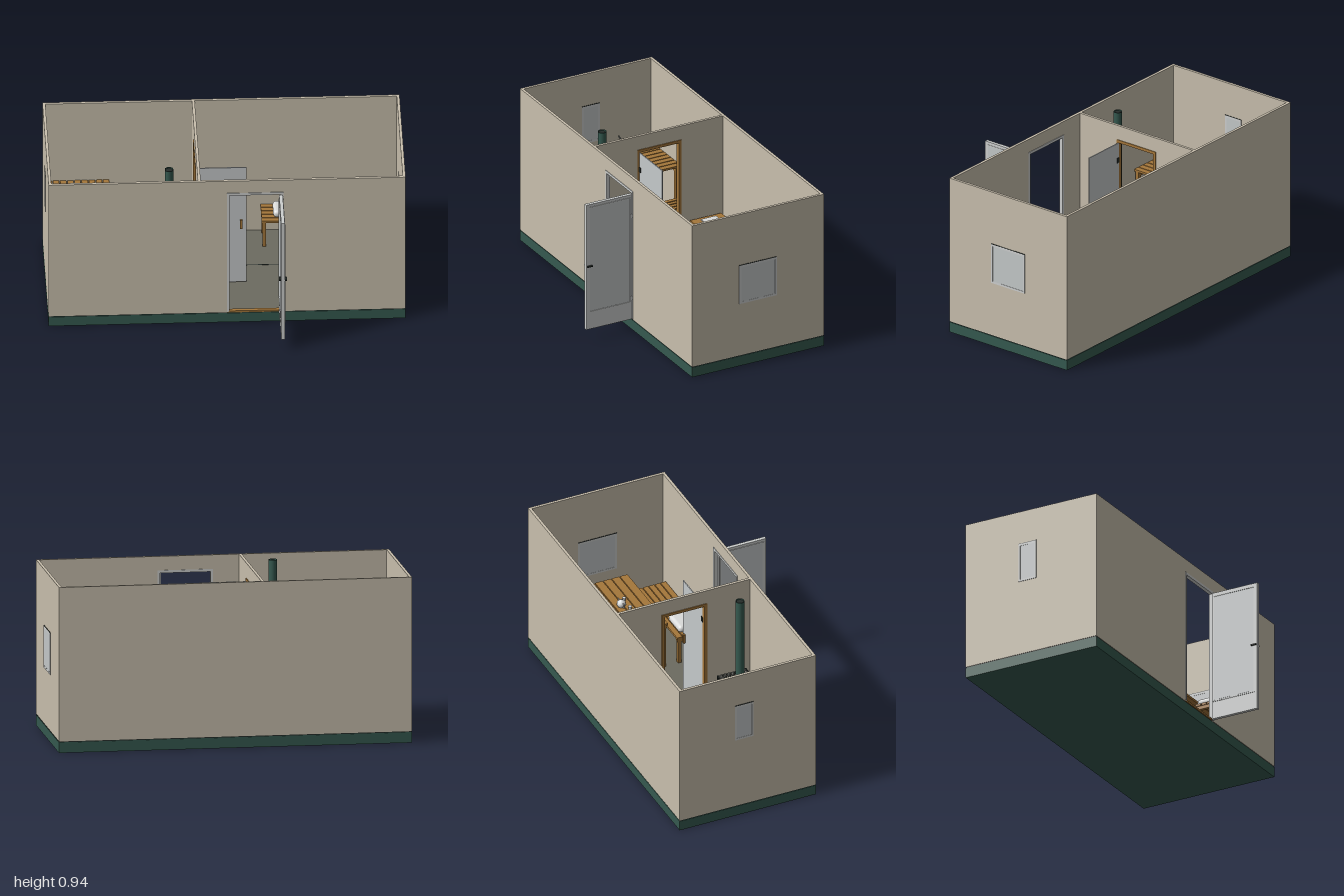
import * as THREE from 'three';
import { RoundedBoxGeometry } from 'three/addons/geometries/RoundedBoxGeometry.js';

const mat = (name, color) => Object.assign(new THREE.MeshStandardMaterial({ color }), { name });

export function createModel() {
  const wall = mat('beige wall', 0xc8bfad), green = mat('dark green', 0x35594f);
  const floorGrey = mat('floor grey', 0x6c6b60), wood = mat('warm wood', 0xa5773a);
  const white = mat('light grey frame', 0xced0cf), glass = mat('pane grey', 0xc5c9ca);
  const dark = mat('dark metal', 0x262d2a), stone = mat('stone grey', 0x5a5a54);
  const cloth = mat('white cloth', 0xdadbda);
  green.side = THREE.DoubleSide;
  wood.side = THREE.DoubleSide;

  const root = new THREE.Group();
  root.name = 'saunaCabin';
  const group = (name, parent = root) => {
    const g = new THREE.Group();
    g.name = name;
    parent.add(g);
    return g;
  };
  const add = (p, name, geo, m, x = 0, y = 0, z = 0) => {
    const mesh = new THREE.Mesh(geo, m);
    mesh.name = name;
    mesh.position.set(x, y, z);
    p.add(mesh);
    return mesh;
  };
  // Box given by its limits on each axis
  const box = (p, name, m, x0, x1, y0, y1, z0, z1) => add(p, name,
    new THREE.BoxGeometry(x1 - x0, y1 - y0, z1 - z0), m, (x0 + x1) / 2, (y0 + y1) / 2, (z0 + z1) / 2);
  const cyl = (p, name, m, r0, r1, h, x, y, z, open = false) =>
    add(p, name, new THREE.CylinderGeometry(r0, r1, h, 24, 1, open), m, x, y, z);
  // Evenly spaced slats running along x or z
  const slats = (p, m, n, gap, x0, x1, y0, y1, z0, z1, alongX) => {
    const a = alongX ? z0 : x0, len = alongX ? z1 - z0 : x1 - x0, w = (len + gap) / n;
    for (let i = 0; i < n; i++) {
      const s = a + i * w, e = s + w - gap;
      if (alongX) box(p, 'slat', m, x0, x1, y0, y1, s, e);
      else box(p, 'slat', m, s, e, y0, y1, z0, z1);
    }
  };

  // Base, floor and outer walls
  const F = 0.068, H = 0.94, Z0 = -0.57, Z1 = 0.27, T = 0.016, X = 0.997;
  box(root, 'base', green, -X, X, 0, 0.06, Z0, Z1);
  box(root, 'baseJoint', dark, -X + 0.003, X - 0.003, 0.06, 0.065, Z0 + 0.003, Z1 - 0.003);
  box(root, 'floor', floorGrey, -X + T, X - T, 0.064, F, Z0 + T, Z1 - T);
  box(root, 'floorSeam', dark, -0.145, X - T, F, F + 0.001, -0.204, -0.198);
  const walls = group('walls');
  box(walls, 'backWall', wall, -X, X, 0.065, H, Z0, Z0 + T);
  box(walls, 'frontWallLeft', wall, 0.312, X, 0.065, H, Z1 - T, Z1);
  box(walls, 'frontWallRight', wall, -X, 0, 0.065, H, Z1 - T, Z1);
  box(walls, 'frontLintel', wall, 0, 0.312, 0.855, H, Z1 - T, Z1);
  for (const s of [-1, 1]) {
    const a = s * X, b = s * (X - T);
    box(walls, 'sideWall', wall, Math.min(a, b), Math.max(a, b), 0.065, H, Z0 + T, Z1 - T);
  }

  // Partition with wooden door frame
  const part = group('partition'), P0 = -0.163, P1 = -0.147;
  box(part, 'partitionFront', wall, P0, P1, F, H, -0.015, Z1 - T);
  box(part, 'partitionBack', wall, P0, P1, F, H, Z0 + T, -0.285);
  box(part, 'partitionLintel', wall, P0, P1, 0.85, H, -0.285, -0.015);
  box(part, 'frameJamb', wood, P0 - 0.004, P1 + 0.004, F, 0.855, -0.29, -0.272);
  box(part, 'frameJamb', wood, P0 - 0.004, P1 + 0.004, F, 0.855, -0.028, -0.01);
  box(part, 'frameHead', wood, P0 - 0.004, P1 + 0.004, 0.838, 0.855, -0.272, -0.028);
  box(part, 'frameSill', wood, P0 - 0.004, P1 + 0.004, F, F + 0.008, -0.272, -0.028);

  // Open glass door to the steam room
  const inner = group('innerDoor');
  box(inner, 'glassLeaf', glass, -0.143, 0.12, F + 0.008, 0.838, -0.027, -0.021);
  for (const s of [-1, 1]) box(inner, 'pull', wood, 0.084, 0.097, 0.435, 0.493, -0.024 + s * 0.01 - 0.006, -0.024 + s * 0.01 + 0.006);
  for (const y of [0.18, 0.72]) box(inner, 'hinge', dark, -0.146, -0.125, y, y + 0.03, -0.03, -0.018);

  // Front door frame and opened leaf
  const door = group('frontDoor');
  box(door, 'jamb', white, 0, 0.013, F, 0.855, Z1 - T - 0.003, Z1 + 0.003);
  box(door, 'jamb', white, 0.299, 0.314, F, 0.855, Z1 - T - 0.003, Z1 + 0.003);
  box(door, 'head', white, 0, 0.314, 0.845, 0.86, Z1 - T - 0.003, Z1 + 0.003);
  box(door, 'threshold', wood, 0, 0.3, 0.065, 0.076, Z1 - T - 0.002, Z1 + 0.003);
  box(door, 'leaf', white, 0.29, 0.31, 0.07, 0.843, 0.274, 0.566);
  for (const x of [0.29, 0.31]) {
    box(door, 'doorPanel', glass, x - 0.001, x + 0.001, 0.183, 0.818, 0.289, 0.543);
    for (const z of [0.283, 0.543]) box(door, 'panelTrim', white, x - 0.003, x + 0.003, 0.173, 0.826, z, z + 0.007);
    for (const y of [0.173, 0.819]) box(door, 'panelTrim', white, x - 0.003, x + 0.003, y, y + 0.007, 0.283, 0.55);
    const s = x > 0.3 ? 1 : -1;
    box(door, 'handle', dark, x + s * 0.007 - 0.005, x + s * 0.007 + 0.005, 0.459, 0.466, 0.53, 0.564);
  }
  for (const y of [0.19, 0.7]) box(door, 'hinge', white, 0.308, 0.316, y, y + 0.022, 0.274, 0.284);

  // Framed windows in the side walls
  const windowAt = (s, z0, z1, y0, y1) => {
    const w = group('window');
    const a = s > 0 ? X - T - 0.003 : -1, b = s > 0 ? 1 : -X + T + 0.003, t = 0.012;
    box(w, 'pane', glass, a + 0.001, b - 0.001, y0 + t, y1 - t, z0 + t, z1 - t);
    for (const y of [y0, y1 - t]) box(w, 'rail', white, a, b, y, y + t, z0, z1);
    for (const z of [z0, z1 - t]) box(w, 'stile', white, a, b, y0 + t, y1 - t, z, z + t);
    box(w, 'dripEdge', dark, a, b, y1, y1 + 0.003, z0, z1);
  };
  windowAt(1, -0.27, -0.03, 0.385, 0.622);
  windowAt(-1, -0.23, -0.115, 0.51, 0.74);

  // Slatted benches and duckboard in the steam room
  const steam = group('steamRoomBenches'), ZB = Z0 + T + 0.004, ZF = Z1 - T - 0.004;
  const tier = (x0, x1, y, n, gap, bars) => {
    slats(steam, wood, n, gap, x0, x1, y - 0.012, y, ZB, ZF, false);
    for (const z of bars) {
      box(steam, 'crossBar', wood, x0, x1, y - 0.035, y - 0.012, z - 0.012, z + 0.012);
      if (y > 0.15) for (const x of [x0, x1 - 0.02]) box(steam, 'benchLeg', wood, x, x + 0.02, F, y - 0.035, z - 0.012, z + 0.012);
    }
  };
  tier(-0.978, -0.625, 0.43, 9, 0.006, [-0.53, -0.15, 0.23]);
  tier(-0.595, -0.385, 0.25, 7, 0.008, [-0.53, -0.36, -0.16, 0.045, 0.23]);
  slats(steam, wood, 7, 0.008, -0.38, -0.17, F + 0.012, F + 0.022, ZB, ZF, false);
  for (const z of [-0.53, -0.38, -0.17, 0.035, 0.23]) box(steam, 'duckboardBar', wood, -0.38, -0.17, F, F + 0.012, z - 0.012, z + 0.012);

  // Bucket and ladle on the upper bench
  const bucket = group('bucket');
  cyl(bucket, 'bucketWall', wood, 0.042, 0.036, 0.07, -0.865, 0.466, -0.33, true);
  cyl(bucket, 'bucketBottom', wood, 0.036, 0.036, 0.006, -0.865, 0.435, -0.33);
  for (const y of [0.45, 0.495]) add(bucket, 'hoop', new THREE.TorusGeometry(0.041, 0.003, 6, 28), dark, -0.865, y, -0.33).rotation.x = Math.PI / 2;
  add(bucket, 'bail', new THREE.TorusGeometry(0.042, 0.002, 6, 24, Math.PI), dark, -0.865, 0.5, -0.33);
  const ladle = cyl(bucket, 'ladleHandle', dark, 0.004, 0.004, 0.12, -0.89, 0.505, -0.33);
  ladle.rotation.z = 1.2;
  cyl(bucket, 'ladleCup', dark, 0.014, 0.01, 0.018, -0.84, 0.485, -0.33);

  // Stove with stone cage, flue and firing tunnel
  const stove = group('stove'), sx0 = -0.372, sx1 = -0.208, sz0 = 0.03, sz1 = 0.21, sy = 0.38;
  box(stove, 'firebox', green, -0.35, -0.23, F + 0.03, 0.37, 0.06, 0.18);
  box(stove, 'tunnel', green, -0.235, -0.135, 0.1, 0.27, 0.07, 0.168);
  box(stove, 'fireDoor', green, -0.135, -0.122, 0.1, 0.27, 0.062, 0.174);
  box(stove, 'fireDoorHandle', dark, -0.122, -0.112, 0.17, 0.21, 0.075, 0.083);
  cyl(stove, 'flue', green, 0.024, 0.024, 0.56, -0.318, 0.65, 0.12, true);
  cyl(stove, 'flueCap', dark, 0.021, 0.021, 0.004, -0.318, 0.922, 0.12);
  for (const x of [sx0, sx1 - 0.008]) for (const z of [sz0, sz1 - 0.008]) box(stove, 'cagePost', dark, x, x + 0.008, F, sy, z, z + 0.008);
  for (let i = 0; i < 7; i++) {
    const y = F + 0.025 + i * 0.0465;
    for (const x of [sx0, sx1 - 0.006]) box(stove, 'cageBar', dark, x, x + 0.006, y, y + 0.006, sz0, sz1);
    for (const z of [sz0, sz1 - 0.006]) box(stove, 'cageBar', dark, sx0, sx1, y, y + 0.006, z, z + 0.006);
  }
  const rock = new THREE.IcosahedronGeometry(0.014, 0);
  for (let k = 0; k < 12; k++) for (let i = 0; i < 7; i++) for (let j = 0; j < 7; j++) {
    if (i > 0 && i < 6 && j > 0 && j < 6) continue;
    const r = add(stove, 'stone', rock, stone, sx0 + 0.018 + i * 0.0213, F + 0.03 + k * 0.0255, sz0 + 0.018 + j * 0.024);
    r.rotation.set(i * 1.7 + k, j * 2.3, k * 1.1);
  }

  // Firewood stack beside the fire door
  const logs = group('firewood');
  for (let k = 0; k < 3; k++) for (let i = 0; i < 3; i++)
    box(logs, 'log', wood, -0.122 + i * 0.024, -0.102 + i * 0.024, F + k * 0.022, F + 0.019 + k * 0.022, 0.2, 0.24);

  // Benches and table of the dressing room
  const furniture = (name, x0, x1, z0, z1, y, n) => {
    const g = group(name);
    slats(g, wood, n, 0.005, x0, x1, y - 0.014, y, z0, z1, true);
    for (const x of [x0 + 0.005, x1 - 0.025]) {
      box(g, 'bearer', wood, x, x + 0.02, y - 0.034, y - 0.014, z0 + 0.005, z1 - 0.005);
      for (const z of [z0 + 0.008, z1 - 0.028]) box(g, 'leg', wood, x, x + 0.02, F, y - 0.034, z, z + 0.02);
    }
    return g;
  };
  furniture('backBench', 0.22, 0.932, -0.55, -0.375, 0.243, 5);
  furniture('frontBench', 0.4, 0.932, 0.07, 0.248, 0.243, 5);
  furniture('table', 0.4, 0.932, -0.29, 0.012, 0.36, 6);
  for (const [x, z] of [[0.363, -0.462], [0.79, -0.462], [0.505, 0.158]])
    add(root, 'cushion', new RoundedBoxGeometry(0.155, 0.045, 0.125, 4, 0.021), cloth, x, 0.266, z);

  // Tea set
  const tea = group('teaSet');
  const pot = [[0, 0], [0.018, 0], [0.026, 0.015], [0.024, 0.03], [0.012, 0.04], [0.004, 0.043], [0, 0.05]];
  add(tea, 'teapot', new THREE.LatheGeometry(pot.map(p => new THREE.Vector2(...p)), 24), cloth, 0.662, 0.36, -0.152);
  cyl(tea, 'spout', cloth, 0.003, 0.006, 0.03, 0.69, 0.383, -0.152).rotation.z = -0.8;
  add(tea, 'potHandle', new THREE.TorusGeometry(0.012, 0.003, 8, 16), cloth, 0.635, 0.38, -0.152);
  for (const [x, z] of [[0.615, -0.12], [0.705, -0.115]]) {
    cyl(tea, 'cup', cloth, 0.011, 0.008, 0.02, x, 0.371, z);
  }

  // Wash cabinet with basin
  const cab = group('washCabinet');
  box(cab, 'cabinetBody', wood, -0.118, 0.038, F, 0.34, -0.525, -0.337);
  box(cab, 'cabinetTop', wood, -0.122, 0.044, 0.34, 0.354, -0.53, -0.332);
  box(cab, 'basin', cloth, -0.095, 0.005, 0.354, 0.36, -0.482, -0.386);
  box(cab, 'doorGap', dark, 0.038, 0.039, F + 0.01, 0.33, -0.432, -0.43);
  for (const z of [-0.45, -0.42]) box(cab, 'knob', dark, 0.038, 0.052, 0.22, 0.25, z, z + 0.006);

  return root;
}
